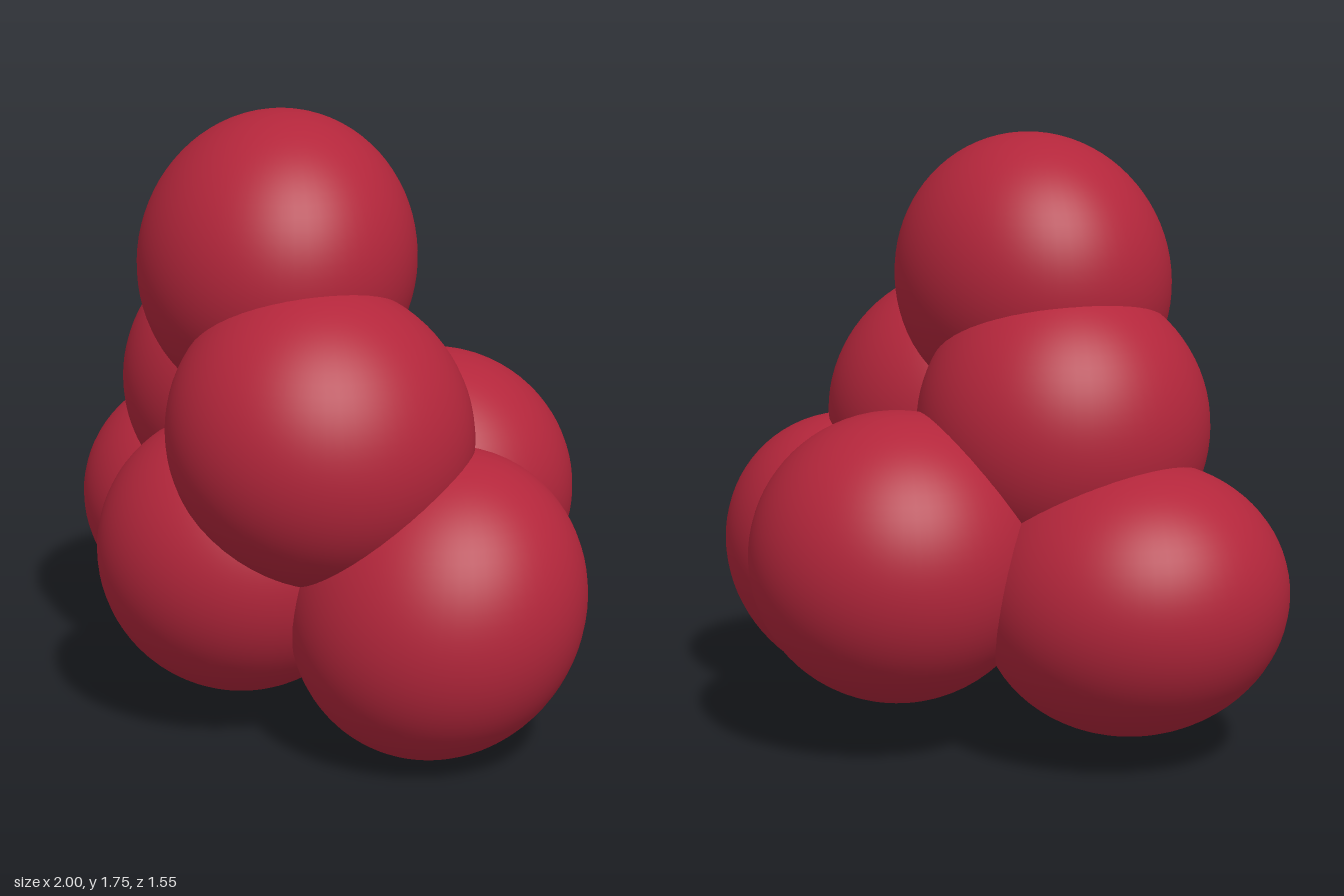
import * as THREE from 'three';

// Each lobe: centre, half extents along x/y/z, and slight skews [xy, xz, yz]
const LOBES = [
  { name: 'topLobe', c: [-0.04, 1.325, 0.19], h: [0.44, 0.43, 0.41], k: [0, 0.015, -0.008] },
  { name: 'upperLeftLobe', c: [0.31, 0.9, 0.297], h: [0.425, 0.425, 0.437], k: [-0.012, 0, 0] },
  { name: 'upperRightLobe', c: [-0.25, 0.92, 0.08], h: [0.425, 0.43, 0.43], k: [0, 0, 0] },
  { name: 'lowerLeftLobe', c: [0.57, 0.433, 0.083], h: [0.427, 0.433, 0.415], k: [0, 0, -0.019] },
  { name: 'lowerRightLobe', c: [-0.555, 0.465, 0.028], h: [0.445, 0.395, 0.437], k: [-0.01, 0, 0] },
  { name: 'lowerFrontLobe', c: [0.01, 0.5, 0.365], h: [0.425, 0.41, 0.408], k: [0, 0, 0] },
  { name: 'lowerBackLobe', c: [0.012, 0.565, -0.35], h: [0.43, 0.42, 0.425], k: [0, 0, 0] },
];

// Shear-and-scale matrix turning a unit sphere into a tilted ellipsoid with the given extents
function lobeMatrix({ c, h, k }) {
  const a = h[0];
  const b = k[0] / a;
  const d = k[1] / a;
  const e = Math.sqrt(h[1] * h[1] - b * b);
  const f = (k[2] - b * d) / e;
  const g = Math.sqrt(h[2] * h[2] - d * d - f * f);
  return new THREE.Matrix4().set(
    a, 0, 0, c[0],
    b, e, 0, c[1],
    d, f, g, c[2],
    0, 0, 0, 1,
  );
}

export function createModel() {
  const group = new THREE.Group();
  group.name = 'lobeCluster';
  const crimson = new THREE.MeshStandardMaterial({ color: 0xb3263b });
  crimson.name = 'crimson';

  for (const lobe of LOBES) {
    const geometry = new THREE.SphereGeometry(1, 64, 40).applyMatrix4(lobeMatrix(lobe));
    const mesh = new THREE.Mesh(geometry, crimson);
    mesh.name = lobe.name;
    group.add(mesh);
  }
  return group;
}
